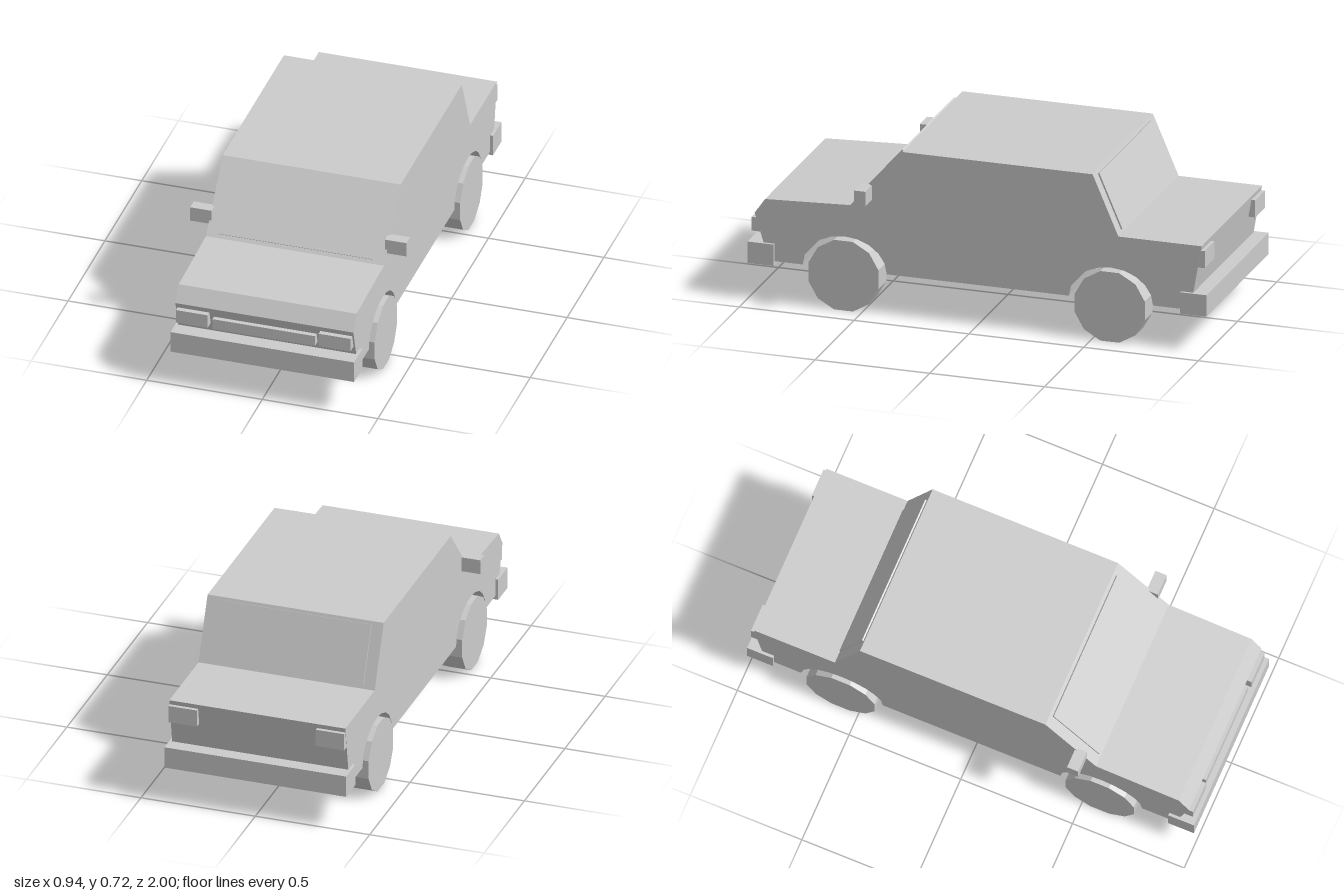
import * as THREE from 'three';

const HALF = 0.385;   // body half width
const AXLE_Z = 0.58;  // front and rear axle distance from the centre

export function createModel() {
  const car = new THREE.Group();
  car.name = 'car';
  const paint = new THREE.MeshStandardMaterial({ color: 0xcccccc, flatShading: true });
  paint.name = 'light grey';

  const add = (name, geometry, x = 0, y = 0, z = 0) => {
    const mesh = new THREE.Mesh(geometry, paint);
    mesh.name = name;
    mesh.position.set(x, y, z);
    car.add(mesh);
    return mesh;
  };
  // Box given by its limits on each axis
  const box = (name, x0, x1, y0, y1, z0, z1) =>
    add(name, new THREE.BoxGeometry(x1 - x0, y1 - y0, z1 - z0),
      (x0 + x1) / 2, (y0 + y1) / 2, (z0 + z1) / 2);

  // Body: side profile (z, y) with wheel arches, extruded across the width
  const profile = [
    [0.91, 0.175], [0.972, 0.378], [0.927, 0.443], [0.557, 0.46], [0.33, 0.72],
    [-0.5, 0.72], [-0.612, 0.46], [-0.975, 0.46], [-0.925, 0.175],
  ].map(([z, y]) => new THREE.Vector2(z, y));
  for (const centre of [-AXLE_Z, AXLE_Z]) {
    for (let i = 0; i <= 10; i++) {
      const a = Math.PI * (1 - i / 10);
      profile.push(new THREE.Vector2(centre + 0.183 * Math.cos(a), 0.175 + 0.145 * Math.sin(a)));
    }
  }
  const body = new THREE.ExtrudeGeometry(new THREE.Shape(profile), { depth: HALF * 2, bevelEnabled: false });
  body.rotateY(-Math.PI / 2).translate(HALF, 0, 0);
  add('body', body);

  // Window panes: thin plates lying on the sloped faces
  const pane = (name, zLow, yLow, zHigh, yHigh, length) => {
    const mesh = add(name, new THREE.BoxGeometry(0.67, length, 0.014),
      0, (yLow + yHigh) / 2, (zLow + zHigh) / 2);
    mesh.rotation.x = Math.atan2(zHigh - zLow, yHigh - yLow);
  };
  pane('windscreen', 0.557, 0.46, 0.33, 0.72, 0.31);
  pane('rearWindow', -0.612, 0.46, -0.5, 0.72, 0.255);

  // Bumpers and grille
  box('frontBumper', -0.397, 0.397, 0.158, 0.252, 0.885, 1);
  box('rearBumper', -0.397, 0.397, 0.158, 0.252, -1, -0.885);
  box('grille', -0.222, 0.222, 0.288, 0.335, 0.92, 0.98);

  // Twelve-sided wheel standing on a flat
  const wheel = new THREE.CylinderGeometry(0.158, 0.158, 0.1, 12);
  wheel.rotateZ(Math.PI / 2).rotateX(Math.PI / 12);

  for (const [side, s] of [['left', 1], ['right', -1]]) {
    const pair = (name, x0, x1, ...rest) =>
      box(side + name, Math.min(s * x0, s * x1), Math.max(s * x0, s * x1), ...rest);
    pair('Headlight', 0.24, 0.378, 0.295, 0.355, 0.92, 0.988);
    pair('TailLight', 0.26, 0.384, 0.365, 0.44, -0.988, -0.94);
    pair('Mirror', 0.375, 0.468, 0.494, 0.558, 0.462, 0.512);
    add(side + 'FrontWheel', wheel, s * 0.351, 0.153, AXLE_Z);
    add(side + 'RearWheel', wheel, s * 0.351, 0.153, -AXLE_Z);
  }

  // Axle plates between the wheels
  for (const [name, z] of [['frontAxle', AXLE_Z], ['rearAxle', -AXLE_Z]]) {
    box(name, -0.305, 0.305, 0.13, 0.33, z - 0.028, z + 0.028);
  }
  return car;
}
